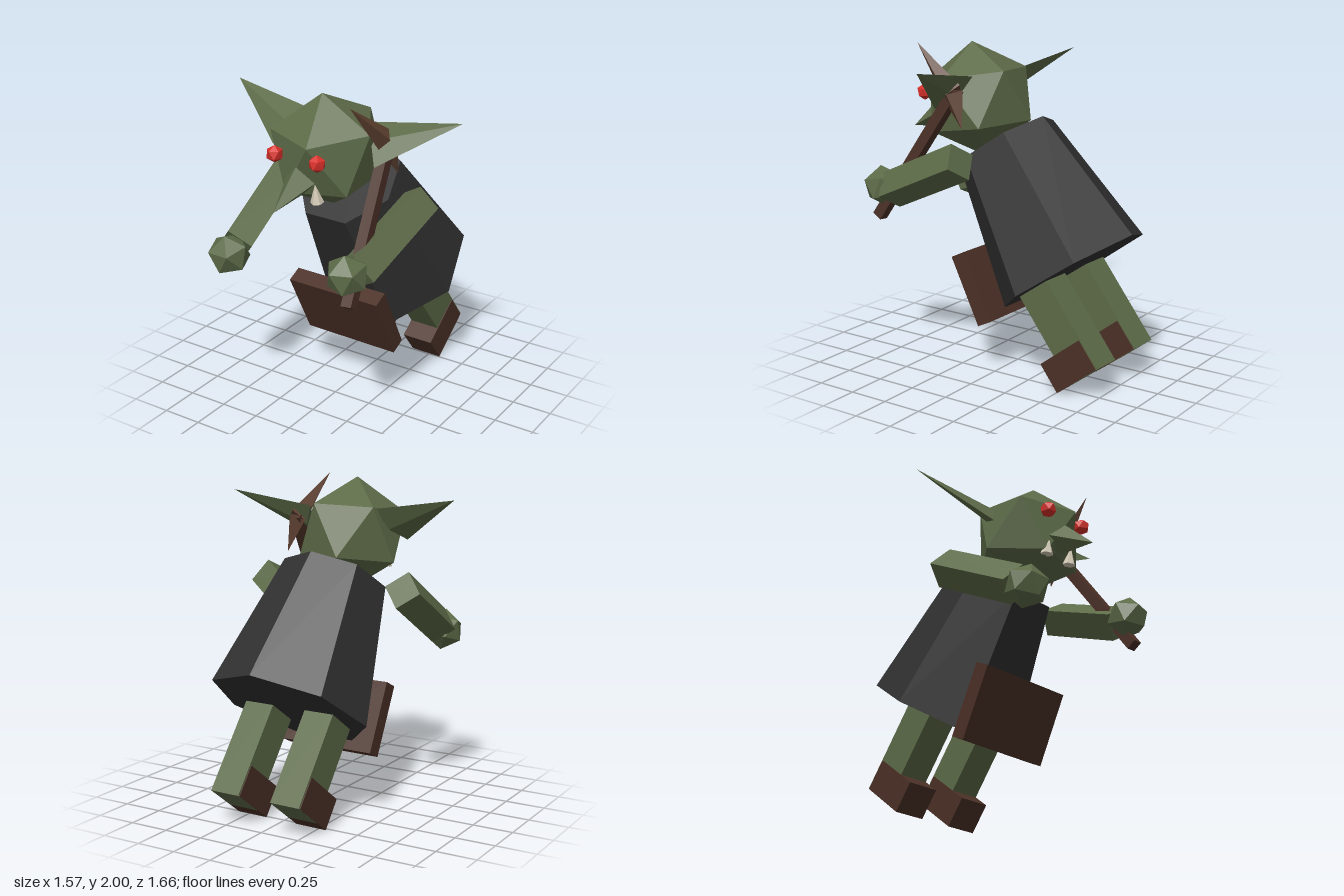
import * as THREE from 'three';

const mat = (name, color, flatShading = true) => {
  const m = new THREE.MeshStandardMaterial({ color, flatShading });
  m.name = name;
  return m;
};

export function createModel() {
  const skin = mat('green skin', 0x5d6b48);
  const cloth = mat('black cloth', 0x313131);
  const leather = mat('brown leather', 0x4b3026);
  const rust = mat('rusty blade', 0x604232);
  const red = mat('red eye', 0xd8302a);
  const ivory = mat('tusk ivory', 0xd6ccb8);

  const root = new THREE.Group();
  root.name = 'goblin';
  const body = new THREE.Group();
  body.name = 'body';
  body.rotation.y = -0.028;
  root.add(body);

  const add = (name, geometry, material, [x, y, z], tilt = 0) => {
    const mesh = new THREE.Mesh(geometry, material);
    mesh.name = name;
    mesh.position.set(x, y, z);
    mesh.rotation.x = tilt;
    body.add(mesh);
    return mesh;
  };

  // Prism or spike between two points; one corner points along "up"
  const rod = (name, material, a, b, r0, r1, sides, up, flat = 1) => {
    const from = new THREE.Vector3(...a), to = new THREE.Vector3(...b);
    const dir = to.clone().sub(from), len = dir.length();
    dir.normalize();
    const zAxis = new THREE.Vector3(...up);
    zAxis.addScaledVector(dir, -zAxis.dot(dir)).normalize();
    const xAxis = new THREE.Vector3().crossVectors(dir, zAxis);
    const geometry = new THREE.CylinderGeometry(r1, r0, len, sides);
    geometry.scale(flat, 1, 1);
    const mid = from.add(to).multiplyScalar(0.5);
    const mesh = add(name, geometry, material, mid.toArray());
    mesh.quaternion.setFromRotationMatrix(new THREE.Matrix4().makeBasis(xAxis, dir, zAxis));
    return mesh;
  };

  // Icosahedron standing on a corner
  const ball = (r, turn) => new THREE.IcosahedronGeometry(r, 0)
    .rotateZ(-Math.atan(2 / (1 + Math.sqrt(5)))).rotateY(turn);

  // Hunched robe with a seven-sided hem
  add('robe', new THREE.CylinderGeometry(0.33, 0.488, 0.88, 7).rotateY(Math.PI),
    cloth, [0, 1.031, -0.165], 0.61);

  // Loincloth panel
  add('loincloth', new THREE.BoxGeometry(0.645, 0.454, 0.103), leather, [0, 0.527, 0.12], 0.46);

  // Head, nose
  add('head', ball(0.356, -0.05), skin, [0, 1.64, 0.292], 0.155);
  rod('nose', skin, [0, 1.535, 0.565], [0, 1.42, 0.82], 0.1, 0, 4, [0, 1, 0]);

  for (const s of [-1, 1]) {
    const side = s > 0 ? 'left' : 'right';
    // Legs and shoes
    add(side + 'Leg', new THREE.BoxGeometry(0.197, 0.65, 0.231), skin, [s * 0.211, 0.399, -0.498], 0.657);
    add(side + 'Shoe', new THREE.BoxGeometry(0.207, 0.196, 0.336), leather, [s * 0.211, 0.183, -0.587], 0.657);
    // Face details
    add(side + 'Eye', ball(0.052, 0.4 * s), red, [s * 0.148, 1.675, 0.605]);
    rod(side + 'Tusk', ivory, [s * 0.098, 1.415, 0.54], [s * 0.098, 1.53, 0.56], 0.04, 0, 6, [0, 0, 1]);
    // Flattened ears
    rod(side + 'Ear', skin, [s * 0.295, 1.717, 0.258], [s * 0.787, 1.895, 0.12],
      0.15, 0, 4, [s * 0.03, -0.105, 0.1], 0.28);
  }

  // Arms and fists
  rod('rightArm', skin, [-0.486, 1.355, 0.061], [-0.442, 1.05, 0.625], 0.118, 0.118, 4, [-0.01, 0.1, 0.0675]);
  rod('leftArm', skin, [0.492, 1.355, 0.056], [0.438, 1.1, 0.643], 0.118, 0.118, 4, [0.02, 0.1, 0.045]);
  add('rightFist', ball(0.132, 0.3), skin, [-0.438, 1.015, 0.695], 0.3);
  add('leftFist', ball(0.13, 0.6), skin, [0.422, 1.112, 0.713], 0.2);

  // Pick: square handle and two spikes
  rod('pickHandle', leather, [0.446, 0.925, 0.735], [0.351, 1.75, 0.19], 0.047, 0.047, 4, [1, 0.55, 0.83]);
  const hub = [0.361, 1.72, 0.21];
  rod('frontSpike', rust, hub, [0.31, 2.0, 0.52], 0.08, 0, 4, [0, 1, -0.8], 0.75);
  rod('rearSpike', rust, hub, [0.38, 1.52, 0.13], 0.08, 0, 4, [0, 0.4, -1], 0.75);

  return root;
}
